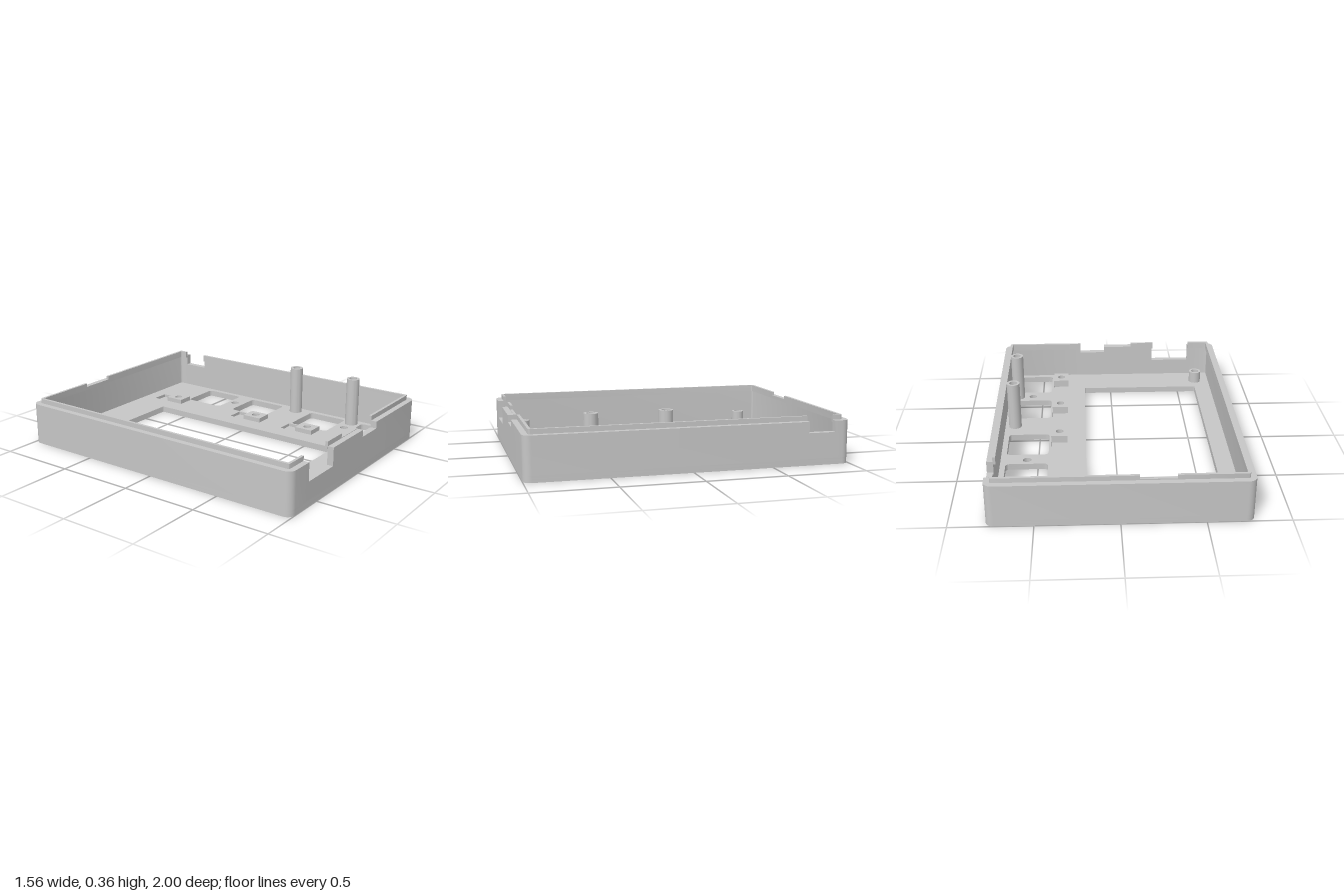
import * as THREE from 'three';
import { toCreasedNormals } from 'three/addons/utils/BufferGeometryUtils.js';

const X = 0.78, Z = 1, R = 0.05;      // half width, half depth, corner radius
const FLOOR = 0.04, WALL = 0.27, LIP = 0.30;

export function createModel() {
  const root = new THREE.Group();
  root.name = 'enclosureHalf';
  const grey = new THREE.MeshStandardMaterial({ color: 0xc6c6c6 });
  grey.name = 'plastic grey';

  // Plan points are [x, z]; extruded upward from y0 to y1
  const toV = ([x, z]) => new THREE.Vector2(x, -z);
  function prism(name, points, y0, y1, holes = []) {
    const outline = points.map(toV);
    // Outline runs counter-clockwise so that hole walls face into the holes
    if (THREE.ShapeUtils.isClockWise(outline)) outline.reverse();
    const shape = new THREE.Shape(outline);
    shape.holes = holes.map(h => new THREE.Path(h.map(toV)));
    const geo = new THREE.ExtrudeGeometry(shape, { depth: y1 - y0, bevelEnabled: false });
    geo.rotateX(-Math.PI / 2);
    geo.translate(0, y0, 0);
    const mesh = new THREE.Mesh(toCreasedNormals(geo, 0.6), grey);
    mesh.name = name;
    root.add(mesh);
  }

  const arc = (cx, cz, r, a0, a1, n) => Array.from({ length: n + 1 }, (_, i) => {
    const a = a0 + (a1 - a0) * i / n;
    return [cx + r * Math.cos(a), cz + r * Math.sin(a)];
  });
  const circle = (x, z, r) => arc(x, z, r, 0, Math.PI * 2, 32).slice(0, -1);
  // Corners 0..3: front left (+x +z), front right (-x +z), back right, back left
  const signs = [[1, 1], [-1, 1], [-1, -1], [1, -1]];
  const roundRect = (x0, x1, z0, z1, r) => signs.flatMap(([sx, sz], k) =>
    arc(sx > 0 ? x1 - r : x0 + r, sz > 0 ? z1 - r : z0 + r, r, k * Math.PI / 2, (k + 1) * Math.PI / 2, 8));
  const rect = (x0, x1, z0, z1) => [[x0, z0], [x1, z0], [x1, z1], [x0, z1]];

  // A point on one side of the case, moved in by an inset
  const sidePoint = {
    front: (x, i) => [x, Z - i],
    back: (x, i) => [x, -Z + i],
    left: (z, i) => [X - i, z],
  };
  // A strip following the case edge from one side, around some corners, to another
  function strip(name, start, corners, end, inset0, inset1, y0, y1) {
    const line = i => {
      const r = Math.max(R - i, 0.008);
      return [
        sidePoint[start[0]](start[1], i),
        ...corners.flatMap(k => arc(signs[k][0] * (X - i - r), signs[k][1] * (Z - i - r), r,
          k * Math.PI / 2, (k + 1) * Math.PI / 2, 8)),
        sidePoint[end[0]](end[1], i),
      ];
    };
    prism(name, [...line(inset0), ...line(inset1).reverse()], y0, y1);
  }

  // Floor in two layers, with wider screw recesses underneath and shallow pockets on top
  const shortPosts = [[-0.638, -0.798], [-0.638, 0.823]];
  const tallPosts = [[0.672, 0.143], [0.672, 0.592]];
  const posts = [...shortPosts, ...tallPosts];
  const mounts = [[-0.872, -0.755, -0.628], [-0.178, -0.065, 0.067], [0.243, 0.357, 0.483], [0.677, 0.792, 0.922]];
  const openings = [
    roundRect(-0.627, 0.192, -0.697, 0.72, 0.008),
    ...[[-0.645, -0.37], [-0.253, 0.015], [0.253, 0.525], [0.658, 0.925]]
      .map(([a, b]) => roundRect(0.435, 0.705, a, b, 0.025)),
    circle(0.57, -0.32, 0.027), circle(0.57, 0.592, 0.027),
  ];
  const plate = roundRect(-X, X, -Z, Z, R);
  prism('floorUnderside', plate, 0, 0.02, [...openings, ...posts.map(([x, z]) => circle(x, z, 0.043))]);
  prism('floorTop', plate, 0.02, FLOOR, [
    ...openings,
    ...posts.map(([x, z]) => circle(x, z, 0.026)),
    ...mounts.map(([z0, zm]) => rect(0.314, 0.422, z0, zm)),
  ]);

  // Walls between the cable notches
  const T = 0.04;
  const wall = (name, a, corners, b, top) => strip(name, a, corners, b, 0, T, FLOOR, top);
  wall('sideWall', ['left', -0.73], [0], ['front', 0.22], WALL);
  wall('frontWallMiddle', ['front', 0.04], [], ['front', -0.32], WALL);
  wall('mainWall', ['front', -0.593], [1, 2, 3], ['left', -0.90], WALL);
  // Lower walls inside the notches
  wall('smallNotchSill', ['front', 0.22], [], ['front', 0.04], 0.225);
  wall('largeNotchSill', ['front', -0.32], [], ['front', -0.593], 0.154);
  wall('sideNotchSill', ['left', -0.90], [], ['left', -0.73], 0.20);

  // Thin locating lip along the inside of the rim
  const lip = (a, corners, b, top = LIP) => strip('lip', a, corners, b, 0.037, 0.054, 0.255, top);
  lip(['left', -0.73], [0], ['front', 0.22]);
  lip(['front', -0.16], [], ['front', -0.325]);
  lip(['front', 0.04], [], ['front', -0.16], 0.273);
  lip(['front', -0.593], [1, 2], ['back', -0.325]);
  lip(['back', -0.325], [], ['back', -0.11], 0.277);
  lip(['back', -0.11], [3], ['left', -0.90]);

  // Hollow screw posts
  for (const [x, z] of shortPosts) prism('shortPost', circle(x, z, 0.042), FLOOR, 0.12, [circle(x, z, 0.026)]);
  for (const [x, z] of tallPosts) prism('tallPost', circle(x, z, 0.043), FLOOR, 0.365, [circle(x, z, 0.026)]);

  // Button arm mounts: a raised block with a blind hole, beside each floor pocket
  for (const [, zm, z1] of mounts) {
    prism('mountBlock', rect(0.314, 0.422, zm, z1), FLOOR, 0.07, [circle(0.367, (zm + z1) / 2, 0.026)]);
  }
  return root;
}
